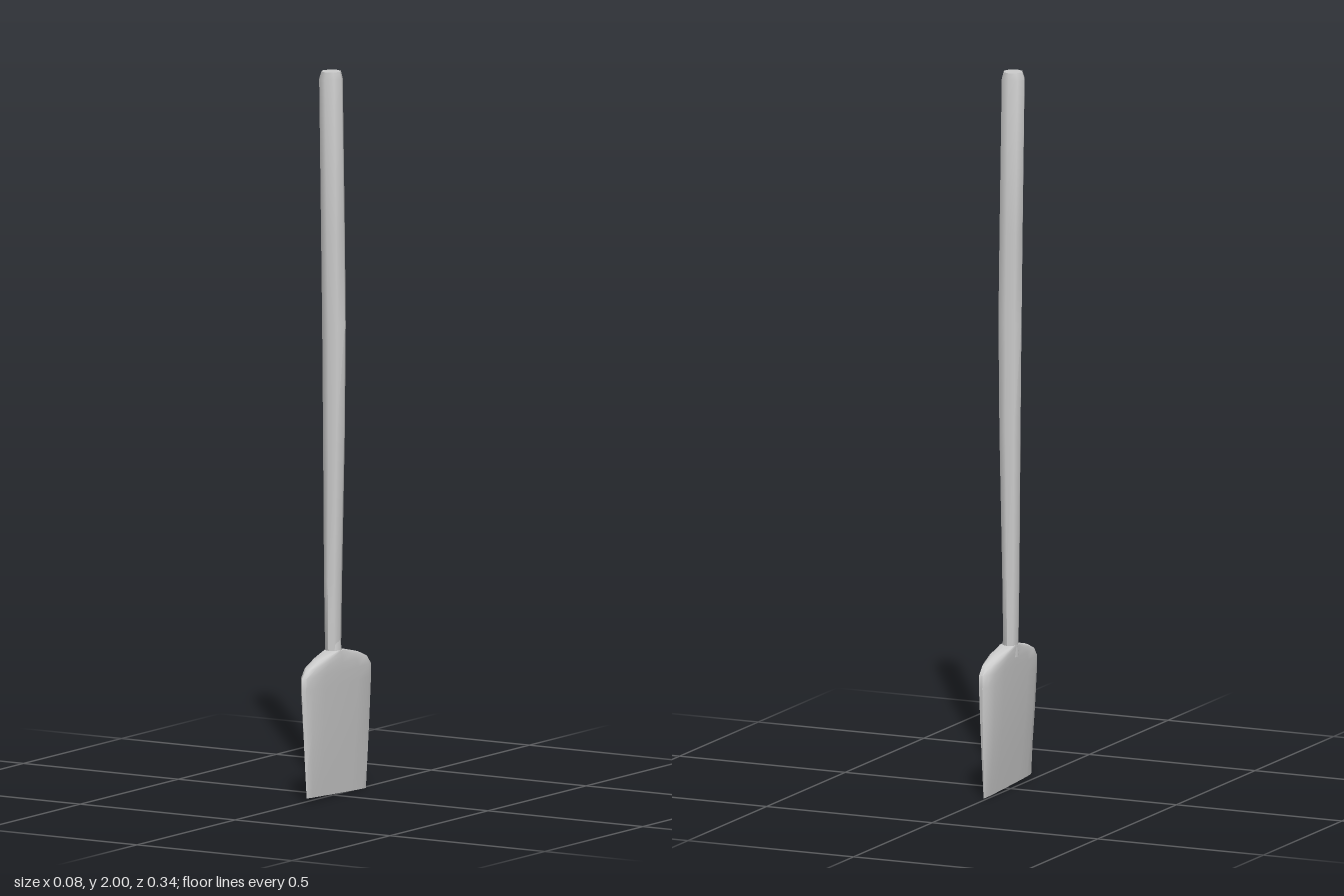
import * as THREE from 'three';
import { toCreasedNormals } from 'three/addons/utils/BufferGeometryUtils.js';

// Skin a stack of closed rings (listed bottom to top) and cap both ends
function loft(rings, crease) {
  const n = rings[0].length, pos = [], index = [];
  rings.forEach(r => r.forEach(p => pos.push(p.x, p.y, p.z)));
  const last = (rings.length - 1) * n;
  for (let i = 0; i < rings.length - 1; i++) {
    for (let j = 0; j < n; j++) {
      const a = i * n + j, b = i * n + (j + 1) % n;
      index.push(a, a + n, b, b, a + n, b + n);
    }
  }
  for (const [base, top] of [[0, false], [last, true]]) {
    const ring = rings[base / n], c = new THREE.Vector3();
    ring.forEach(p => c.addScaledVector(p, 1 / n));
    const k = pos.length / 3;
    pos.push(c.x, c.y, c.z);
    for (let j = 0; j < n; j++) {
      const a = base + j, b = base + (j + 1) % n;
      index.push(k, top ? b : a, top ? a : b);
    }
  }
  const g = new THREE.BufferGeometry();
  g.setAttribute('position', new THREE.Float32BufferAttribute(pos, 3));
  g.setIndex(index);
  return toCreasedNormals(g, crease);
}

export function createModel() {
  const group = new THREE.Group();
  const material = new THREE.MeshStandardMaterial({ color: 0xcccccc });
  const add = (name, geometry) => {
    const mesh = new THREE.Mesh(geometry, material);
    mesh.name = name;
    group.add(mesh);
  };

  // Slightly bowed octagonal shaft: y, min x, max x, min z, max z
  const shaft = [
    [0.34, -0.017, 0.019, -0.022, 0.022],
    [0.42, -0.021, 0.021, -0.025, 0.026],
    [0.6, -0.024, 0.024, -0.027, 0.028],
    [1.0, -0.029, 0.034, -0.029, 0.029],
    [1.3, -0.033, 0.037, -0.031, 0.029],
    [1.55, -0.036, 0.033, -0.033, 0.03],
    [1.98, -0.042, 0.026, -0.033, 0.03],
    [2.0, -0.034, 0.02, -0.029, 0.027],
  ];
  add('shaft', loft(shaft.map(([y, x0, x1, z0, z1]) =>
    Array.from({ length: 8 }, (_, j) => {
      const a = j / 8 * Math.PI * 2;
      return new THREE.Vector3(
        (x0 + x1) / 2 + Math.cos(a) * (x1 - x0) / 2, y,
        (z0 + z1) / 2 + Math.sin(a) * (z1 - z0) / 2);
    })), 0.9));

  // Flat blade tapering to a thin cutting edge: y, half width, min x, max x
  const blade = [
    [0.006, 0.151, 0.006, 0.014],
    [0.1, 0.157, -0.003, 0.02],
    [0.2, 0.163, -0.011, 0.025],
    [0.31, 0.169, -0.017, 0.029],
    [0.345, 0.167, -0.018, 0.03],
    [0.368, 0.146, -0.019, 0.03],
    [0.386, 0.1, -0.019, 0.029],
    [0.402, 0.03, -0.019, 0.027],
  ];
  // Cross-section: x across thickness (-1..1), z across width (-1..1)
  const section = [
    [1, 0], [0.96, 0.5], [0.82, 0.84], [0.5, 0.98], [0, 1], [-0.5, 0.92], [-0.84, 0.76], [-0.96, 0.45],
    [-1, 0], [-0.96, -0.45], [-0.84, -0.76], [-0.5, -0.92], [0, -1], [0.5, -0.98], [0.82, -0.84], [0.96, -0.5],
  ];
  add('blade', loft(blade.map(([y, w, x0, x1], i) => section.map(([sx, sz]) =>
    new THREE.Vector3(
      (x0 + x1) / 2 + sx * (x1 - x0) / 2,
      y + (i === 0 ? 0.006 * sz : 0), // slightly slanted edge
      sz * w))), 0.9));

  // Small socket where the blade meets the shaft
  const socket = new THREE.CylinderGeometry(0.018, 0.026, 0.07, 8);
  socket.translate(0.002, 0.405, 0);
  add('socket', toCreasedNormals(socket, 0.9));

  return group;
}
